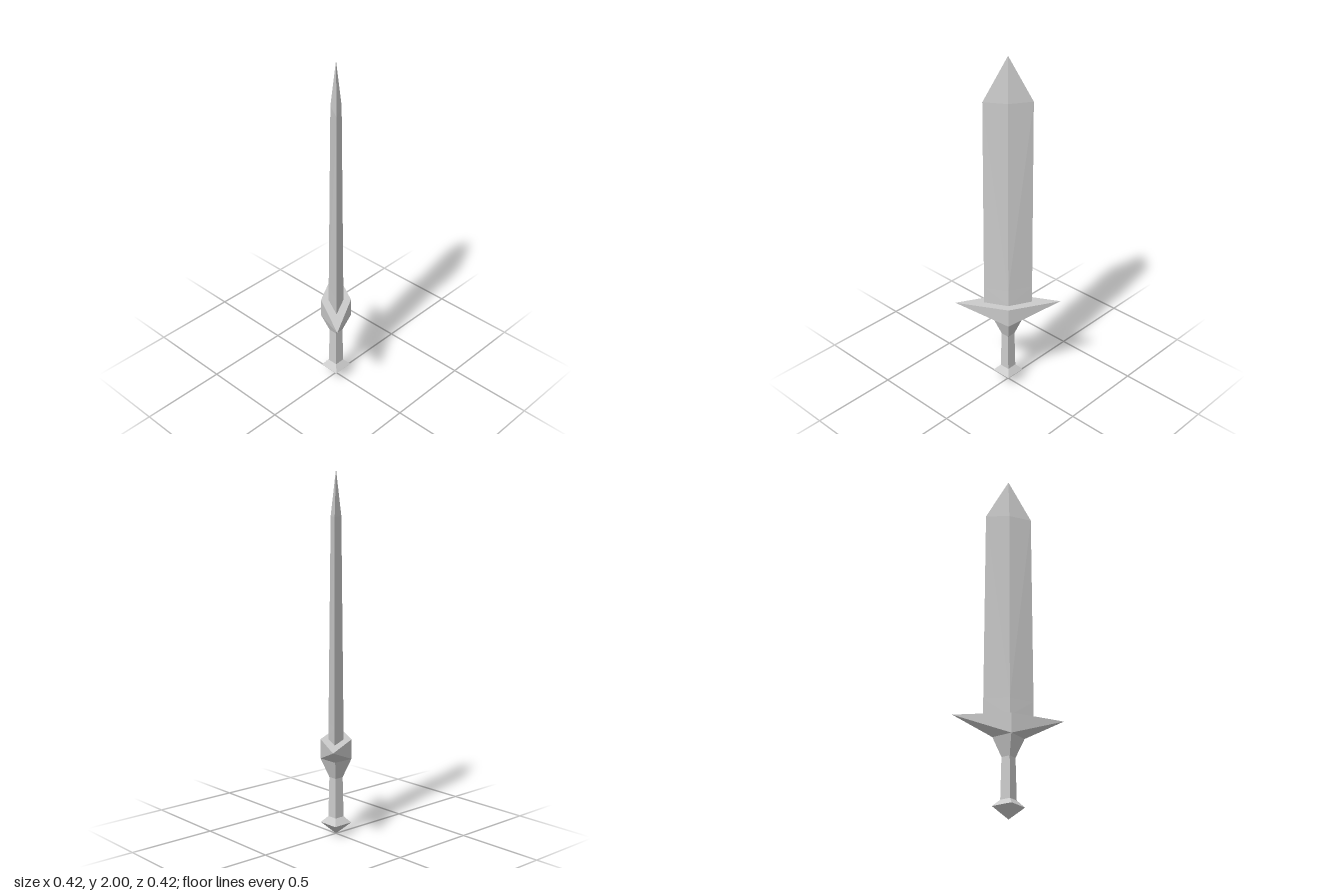
import * as THREE from 'three';

const material = new THREE.MeshStandardMaterial({ color: 0xcccccc, flatShading: true });

// Lofts four-sided rings [y, longHalf, shortHalf] from bottom to top.
// The long diagonal runs from (-x, +z) to (+x, -z); ends are capped when not pointed.
function loft(name, rings) {
  const corners = rings.map(([y, a, b]) => [
    [b, y, b], [a, y, -a], [-b, y, -b], [-a, y, a],
  ]);
  const positions = [];
  const tri = (p, q, r) => positions.push(...p, ...q, ...r);

  for (let i = 0; i < rings.length - 1; i++) {
    const low = corners[i], high = corners[i + 1];
    const lowPoint = rings[i][1] === 0, highPoint = rings[i + 1][1] === 0;
    for (let k = 0; k < 4; k++) {
      const n = (k + 1) % 4;
      if (highPoint) tri(low[k], low[n], high[k]);
      else if (lowPoint) tri(low[k], high[n], high[k]);
      else if (k % 2 === 0) {
        // Diagonals meet at the long corners, so both halves match
        tri(low[k], low[n], high[n]);
        tri(low[k], high[n], high[k]);
      } else {
        tri(low[k], low[n], high[k]);
        tri(low[n], high[n], high[k]);
      }
    }
  }
  const bottom = corners[0], top = corners[corners.length - 1];
  if (rings[0][1] > 0) {
    tri(bottom[0], bottom[2], bottom[1]);
    tri(bottom[0], bottom[3], bottom[2]);
  }
  if (rings[rings.length - 1][1] > 0) {
    tri(top[0], top[1], top[2]);
    tri(top[0], top[2], top[3]);
  }

  const geometry = new THREE.BufferGeometry();
  geometry.setAttribute('position', new THREE.Float32BufferAttribute(positions, 3));
  geometry.computeVertexNormals();
  const mesh = new THREE.Mesh(geometry, material);
  mesh.name = name;
  return mesh;
}

export function createModel() {
  const sword = new THREE.Group();
  sword.name = 'sword';
  sword.add(
    // Square pommel with a pointed underside
    loft('pommel', [[0, 0, 0], [0.065, 0.06, 0.06], [0.1, 0.03, 0.03]]),
    // Slightly tapered square grip
    loft('grip', [[0.1, 0.03, 0.03], [0.325, 0.026, 0.026]]),
    // Flared collar spreading into a long diamond guard
    loft('guard', [[0.325, 0.026, 0.026], [0.43, 0.06, 0.06], [0.54, 0.21, 0.06]]),
    // Diamond-section blade with a pointed tip
    loft('blade', [[0.54, 0.095, 0.03], [0.64, 0.095, 0.029], [1.755, 0.092, 0.02], [2, 0, 0]]),
  );
  return sword;
}
